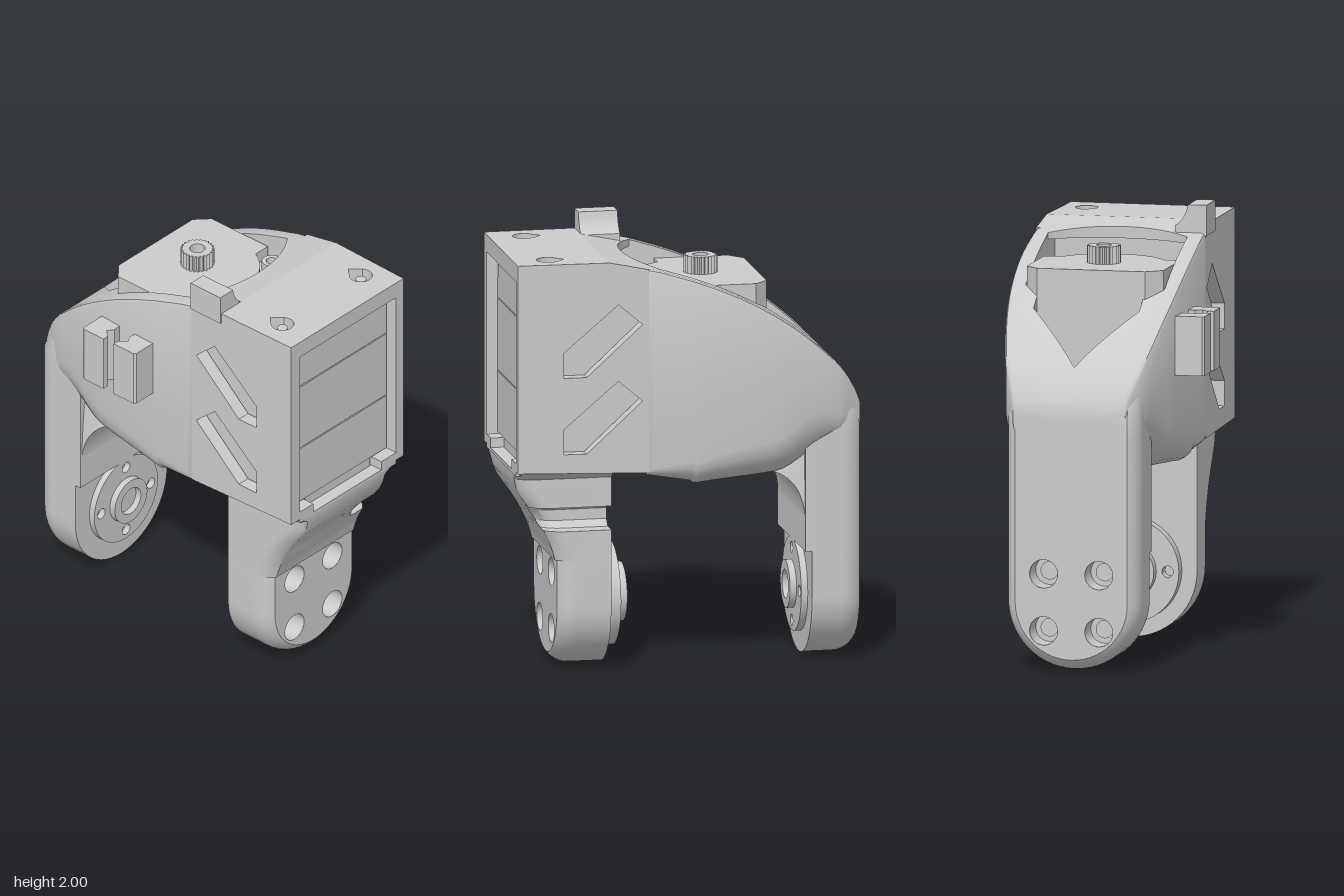
import * as THREE from 'three';
import { toCreasedNormals } from 'three/addons/utils/BufferGeometryUtils.js';

const MAT = new THREE.MeshStandardMaterial({ color: 0xcccccc });
const MAT2 = new THREE.MeshStandardMaterial({ color: 0xcccccc, side: THREE.DoubleSide });
const ZC = -0.05; // centre plane of the legs

function add(parent, name, geo, mat = MAT) {
  const m = new THREE.Mesh(geo, mat);
  m.name = name;
  parent.add(m);
  return m;
}

// lookup through points, straight or as a smooth curve
function table(pts, smooth = false) {
  const slope = (i) => {
    const a = pts[Math.max(i - 1, 0)], b = pts[Math.min(i + 1, pts.length - 1)];
    return (b[1] - a[1]) / (b[0] - a[0]);
  };
  return (x) => {
    if (x <= pts[0][0]) return pts[0][1];
    for (let i = 1; i < pts.length; i++) {
      const [a, u] = pts[i - 1], [b, v] = pts[i];
      if (x > b) continue;
      const t = (x - a) / (b - a), h = b - a;
      if (!smooth) return u + (v - u) * t;
      return u + (v - u) * t * t * (3 - 2 * t) + h * t * (1 - t) * ((1 - t) * slope(i - 1) - t * slope(i));
    }
    return pts[pts.length - 1][1];
  };
}

// skin through closed or open rows of [x, y, z] points, optionally capped by fans
function skin(rows, { closed = false, capStart = false, capEnd = false } = {}) {
  const n = rows[0].length, pos = rows.flat(2), idx = [];
  const span = closed ? n : n - 1;
  for (let r = 0; r < rows.length - 1; r++)
    for (let i = 0; i < span; i++) {
      const a = r * n + i, b = r * n + ((i + 1) % n);
      idx.push(a, b, b + n, a, b + n, a + n);
    }
  const cap = (r, flip) => {
    const c = pos.length / 3;
    pos.push(...[0, 1, 2].map((k) => rows[r].reduce((s, p) => s + p[k], 0) / n));
    for (let i = 0; i < n; i++) {
      const a = r * n + i, b = r * n + ((i + 1) % n);
      flip ? idx.push(c, b, a) : idx.push(c, a, b);
    }
  };
  if (capStart) cap(0, true);
  if (capEnd) cap(rows.length - 1, false);
  const g = new THREE.BufferGeometry();
  g.setAttribute('position', new THREE.Float32BufferAttribute(pos, 3));
  g.setIndex(idx);
  return toCreasedNormals(g, 0.6);
}

// move every vertex by a rule
function warp(g, rule) {
  const p = g.attributes.position;
  for (let i = 0; i < p.count; i++) p.setXYZ(i, ...rule(p.getX(i), p.getY(i), p.getZ(i)));
  g.computeVertexNormals();
  return g;
}

const poly = (pts) => new THREE.Shape(pts.map(([a, b]) => new THREE.Vector2(a, b)));
const circle = (x, y, r) => new THREE.Path().absarc(x, y, r, 0, Math.PI * 2, true);
const ext = (shape, depth) => new THREE.ExtrudeGeometry(shape, { depth, bevelEnabled: false, curveSegments: 20 });
// plan shape (x, z) raised from y0 to y1
const plan = (shape, y0, y1) => ext(shape, y1 - y0).rotateX(Math.PI / 2).translate(0, y1, 0);
const box = (x0, x1, y0, y1, z0, z1) => new THREE.BoxGeometry(x1 - x0, y1 - y0, z1 - z0).translate((x0 + x1) / 2, (y0 + y1) / 2, (z0 + z1) / 2);

const curve = table([[-0.8, 1.2], [-0.77, 1.27], [-0.7, 1.37], [-0.6, 1.47], [-0.45, 1.59], [-0.27, 1.7], [-0.07, 1.79], [0.14, 1.86]], true);
const top = (x) => (x < 0.14 ? curve(x) : Math.min(1.91, 1.86 + (x - 0.14) * 0.2083));
const zMax = table([[-0.8, 0.2], [-0.7, 0.255], [-0.55, 0.295], [-0.35, 0.325], [-0.1, 0.338], [0.2, 0.335], [0.8, 0.33]], true);
const zMin = table([[-0.8, -0.32], [-0.7, -0.375], [-0.55, -0.415], [-0.35, -0.445], [-0.1, -0.458], [0.2, -0.45], [0.8, -0.43]], true);
const bottom = table([[-0.8, 1.05], [-0.66, 1.0], [-0.55, 0.92], [-0.48, 0.89], [-0.4, 0.88], [-0.02, 0.86], [0, 0.875], [0.2, 0.92]]);
const bellyRound = table([[-0.7, 0.13], [-0.55, 0.23], [-0.4, 0.18], [-0.1, 0.13], [0.2, 0.03]], true);
const pocketMax = table([[-0.7, -0.06], [-0.44, 0.18], [-0.37, 0.18], [-0.3, 0.265]]);
const pocketMin = table([[-0.7, -0.06], [-0.44, -0.31], [-0.37, -0.31], [-0.3, -0.38]]);

// curved front half of the housing with its open pocket
function frontHousing() {
  const xs = [-0.79, -0.699, -0.44, -0.371, -0.37, -0.02];
  for (let i = 0; i <= 40; i++) xs.push(-0.8 + i * 0.025);
  xs.sort((a, b) => a - b);
  const rows = xs.map((x) => {
    const t = top(x), b = bottom(x), r = 0.02, c = Math.min(bellyRound(x), (t - b) / 2);
    const f = x <= -0.7 ? t : x < -0.3705 ? 1.26 : 0.99;
    // half profile from the belly to the pocket floor
    const half = (edge, inner, s) => {
      const pts = [];
      for (let i = 0; i <= 5; i++) {
        const a = (i / 5) * Math.PI / 2;
        pts.push([x, b + c * (1 - Math.cos(a)), edge - s * c * (1 - Math.sin(a))]);
      }
      return [...pts, [x, t - r, edge], [x, t - r * 0.3, edge - s * r * 0.3], [x, t, edge - s * r], [x, t, inner], [x, f, inner]];
    };
    return [...half(zMax(x), pocketMax(x), 1), ...half(zMin(x), pocketMin(x), -1).reverse()];
  });
  return skin(rows, { closed: true, capStart: true });
}

// rear box side plate with two windows
function sidePlate(z0, z1) {
  const s = poly([[0.2, 0.935], [0.8, 0.95], [0.8, 1.91], [0.38, 1.91], [0.2, top(0.2)]]);
  for (const dy of [0, -0.353])
    s.holes.push(poly([[0.23, 1.62 + dy], [0.34, 1.715 + dy], [0.59, 1.5 + dy], [0.59, 1.385 + dy], [0.485, 1.385 + dy]]));
  return warp(ext(s, z1 - z0).translate(0, 0, z0), (x, y, z) => [x, y, z > 0.3 ? zMax(x) : z < -0.4 ? zMin(x) : z]);
}

// roof: sloping part with the concave edge, flat part with teardrop screw recesses
function roof() {
  const g = new THREE.Group();
  g.name = 'roof';
  const front = new THREE.Shape().moveTo(0.14, -0.38);
  front.bezierCurveTo(0.29, -0.2, 0.29, 0.08, 0.14, 0.27).lineTo(0.38, 0.27).lineTo(0.38, -0.38);
  add(g, 'roofSlope', warp(plan(front, 1.83, 1.91), (x, y, z) => [x, Math.min(y, top(x)), z]));
  const rear = poly([[0.38, -0.38], [0.8, -0.38], [0.8, 0.27], [0.38, 0.27]]);
  for (const z of [-0.32, 0.21]) {
    const h = new THREE.Path().moveTo(0.565, z);
    h.lineTo(0.61, z - 0.045).absarc(0.64, z, 0.052, -2.1, 2.1, false).lineTo(0.565, z);
    rear.holes.push(h);
    add(g, 'roofScrew', new THREE.CylinderGeometry(0.025, 0.025, 0.06, 16).translate(0.64, 1.86, z));
  }
  add(g, 'roofFlat', plan(rear, 1.83, 1.91));
  return g;
}

// leg facing local +x, centred on z = 0: bolted round foot plus a shaft
function leg(name, xi, outer, shaft) {
  const g = new THREE.Group();
  g.name = name;
  const W = 0.31, R = 0.11, Y = 0.52, xo = outer(0.4), D = 0.05;
  // rounded outer edge as [depth below the face, inset from the side]
  const edge = Array.from({ length: 9 }, (_, i) => {
    const d = D * (i / 8) ** 2;
    return [Math.sqrt(R * R - (R - D) ** 2) - Math.sqrt(R * R - (R - d) ** 2), d];
  });
  const outline = (r) => {
    const pts = [[r, Y]];
    for (let i = 0; i <= 28; i++) {
      const a = -(i / 28) * Math.PI;
      pts.push([r * Math.cos(a), W + r * Math.sin(a)]);
    }
    return [...pts, [-r, Y]];
  };
  const rim = [[xi, 0], ...edge.map(([h, d]) => [xo - h, d])];
  add(g, 'footRim', skin(rim.map(([x, d]) => outline(W - d).map(([z, y]) => [x, y, z]))), MAT2);
  const face = poly(outline(W - D));
  for (const z of [-0.128, 0.128]) for (const y of [0.18, 0.44]) {
    face.holes.push(circle(z, y, 0.065));
    add(g, 'boltHole', new THREE.CylinderGeometry(0.065, 0.065, 0.12, 24, 1, true).rotateZ(Math.PI / 2).translate(xo - 0.06, y, z), MAT2);
    add(g, 'boltSeat', new THREE.RingGeometry(0.04, 0.065, 24).rotateY(Math.PI / 2).translate(xo - 0.12, y, z), MAT2);
  }
  add(g, 'footFace', new THREE.ShapeGeometry(face, 20).rotateY(Math.PI / 2).translate(xo, 0, 0), MAT2);
  add(g, 'footBack', new THREE.ShapeGeometry(poly(outline(W))).rotateY(Math.PI / 2).translate(xi, 0, 0), MAT2);
  // shaft stations: [y, inner x, +z half width, -z half width]
  const rows = shaft.map(([y, x0, wp, wm]) => {
    const corner = (w, s) => edge.map(([h, d]) => [outer(y) - h, y, s * (w - d)]);
    return [[x0, y, wp], ...corner(wp, 1), ...corner(wm, -1).reverse(), [x0, y, -wm]];
  });
  add(g, 'shaft', skin(rows, { closed: true, capStart: true, capEnd: true }), MAT2);
  return g;
}

// bolted disc and hub on the inner face of a leg
function horn(name, x, dir, r, t, hubR, hubT) {
  const g = new THREE.Group();
  g.name = name;
  const disc = new THREE.Shape().absarc(0, 0, r, 0, Math.PI * 2, false);
  for (let i = 0; i < 4; i++) disc.holes.push(circle(r * 0.78 * Math.cos(i * Math.PI / 2), r * 0.78 * Math.sin(i * Math.PI / 2), 0.026));
  const hub = new THREE.Shape().absarc(0, 0, hubR, 0, Math.PI * 2, false);
  hub.holes.push(circle(0, 0, hubR * 0.6));
  add(g, 'hornDisc', toCreasedNormals(ext(disc, t).rotateY(Math.PI / 2), 0.6));
  add(g, 'hornHub', toCreasedNormals(ext(hub, hubT).rotateY(Math.PI / 2), 0.6)).position.x = t;
  g.rotation.y = dir > 0 ? 0 : Math.PI;
  g.position.set(x, 0.31, ZC);
  return g;
}

function servo() {
  const g = new THREE.Group();
  g.name = 'motor';
  const block = (x1) => poly([[-0.37, -0.31], [-0.31, -0.372], [x1, -0.372], [x1, 0.262], [-0.31, 0.262], [-0.37, 0.19]]);
  for (const [y0, y1] of [[1.0, 1.282], [1.288, 1.617], [1.623, 1.71]]) add(g, 'motorCase', plan(block(0.75), y0, y1));
  add(g, 'motorCore', plan(block(0.742), 1.01, 1.7));
  add(g, 'motorEndCap', box(0.28, 0.75, 1.71, 1.8, -0.37, 0.26));
  add(g, 'motorEndRidge', box(0.28, 0.75, 1.8, 1.825, -0.27, 0.2));
  add(g, 'motorBackStop', box(0.27, 0.29, 1.7, 1.85, -0.38, 0.27));
  add(g, 'motorBaseFlange', box(0, 0.74, 0.947, 1.0, -0.27, 0.17));
  const lid = new THREE.Shape().moveTo(-0.37, -0.31);
  lid.lineTo(-0.31, -0.372).lineTo(0.03, -0.372).lineTo(0.03, -0.29);
  lid.bezierCurveTo(0.22, -0.2, 0.22, 0.08, 0.03, 0.18).lineTo(0.03, 0.262).lineTo(-0.31, 0.262).lineTo(-0.37, 0.19);
  add(g, 'motorLid', plan(lid, 1.71, 1.77));
  for (const z of [-0.32, 0.205]) {
    const b = new THREE.Shape().absarc(0.1, z, 0.045, 0, Math.PI * 2, false);
    b.holes.push(circle(0.1, z, 0.025));
    add(g, 'lidScrew', plan(b, 1.71, 1.75));
  }
  // toothed output shaft
  const s = poly(Array.from({ length: 48 }, (_, i) => {
    const a = (i / 48) * Math.PI * 2, r = i % 2 ? 0.066 : 0.077;
    return [-0.117 + r * Math.cos(a), -0.06 + r * Math.sin(a)];
  }));
  s.holes.push(circle(-0.117, -0.06, 0.035));
  add(g, 'outputShaft', plan(s, 1.77, 1.85));
  return g;
}

export function createModel() {
  const model = new THREE.Group();
  model.name = 'jointBracket';

  const housing = new THREE.Group();
  housing.name = 'housing';
  model.add(housing);
  add(housing, 'frontHousing', frontHousing(), MAT2);
  add(housing, 'leftSidePlate', sidePlate(0.27, 0.335));
  add(housing, 'rightSidePlate', sidePlate(-0.445, -0.38));
  housing.add(roof());
  add(housing, 'floor', box(0.2, 0.8, 0.93, 0.946, -0.38, 0.27));
  for (const [z0, z1] of [[-0.38, -0.28], [0.18, 0.27]]) add(housing, 'floorRail', box(0.2, 0.8, 0.946, 0.99, z0, z1));

  // concave web between the outer leg and the belly, narrowing towards the belly
  const web = new THREE.Shape().moveTo(-0.6, 0.68);
  web.lineTo(-0.54, 0.68).bezierCurveTo(-0.53, 0.8, -0.48, 0.87, -0.39, 0.885).lineTo(-0.6, 1.0);
  const narrow = (x, y, z) => [x, y, ZC + z * (1 - 1.6 * Math.max(0, x + 0.54))];
  add(housing, 'legWeb', toCreasedNormals(warp(ext(web, 0.6).translate(0, 0, -0.3), narrow), 0.5));

  model.add(servo());

  // cable clips on the side
  for (const dir of [1, -1]) {
    const pts = [[0.16, 0.32], [0.16, 0.45], [0.15, 0.46], [0.03, 0.46], [0.03, 0.43], [0.065, 0.4], [0.045, 0.37], [0.05, 0.32]];
    add(model, 'cableClip', plan(poly(pts.map(([x, z]) => [-0.19 - dir * x, z])), 1.3, 1.57));
  }

  // hook on the roof
  const hook = new THREE.Shape().moveTo(0.34, 1.86);
  hook.lineTo(0.34, 2).lineTo(0.255, 2).quadraticCurveTo(0.24, 1.93, 0.195, 1.905).lineTo(0.195, 1.86);
  add(model, 'roofHook', ext(hook, 0.18).rotateY(-Math.PI / 2).translate(0.38, 0, 0));

  // legs; the left one has a cable notch
  const flare = table([[0.45, 0.595], [0.52, 0.605], [0.6, 0.63], [0.68, 0.67], [0.75, 0.715], [0.82, 0.765], [0.88, 0.79], [0.95, 0.8]], true);
  const leftShaft = [[0.52, 0.31], [0.56, 0.31], [0.6, 0.31], [0.66, 0.31], [0.66, 0.23], [0.69, 0.2], [0.74, 0.2], [0.77, 0.23], [0.77, 0.31], [0.82, 0.31], [0.86, 0.31], [0.905, 0.31], [0.925, 0.34], [0.945, 0.375]]
    .map(([y, wm]) => [y, 0.355, Math.max(0.31, wm), wm]);
  const rightShaft = [[0.52, 0.54, 0.31, 0.31], [1.06, 0.54, 0.31, 0.31], [1.16, 0.62, 0.31, 0.31], [1.25, 0.69, 0.305, 0.305]];
  const left = leg('leftLeg', 0.355, flare, leftShaft);
  const right = leg('rightLeg', 0.57, table([[1.16, 0.8], [1.25, 0.765]]), rightShaft);
  right.rotation.y = Math.PI;
  left.position.z = right.position.z = ZC;
  model.add(left, right);
  model.add(horn('leftHorn', 0.355, -1, 0.24, 0.06, 0.135, 0.05));
  model.add(horn('rightHorn', -0.57, 1, 0.215, 0.03, 0.11, 0.03));
  return model;
}
